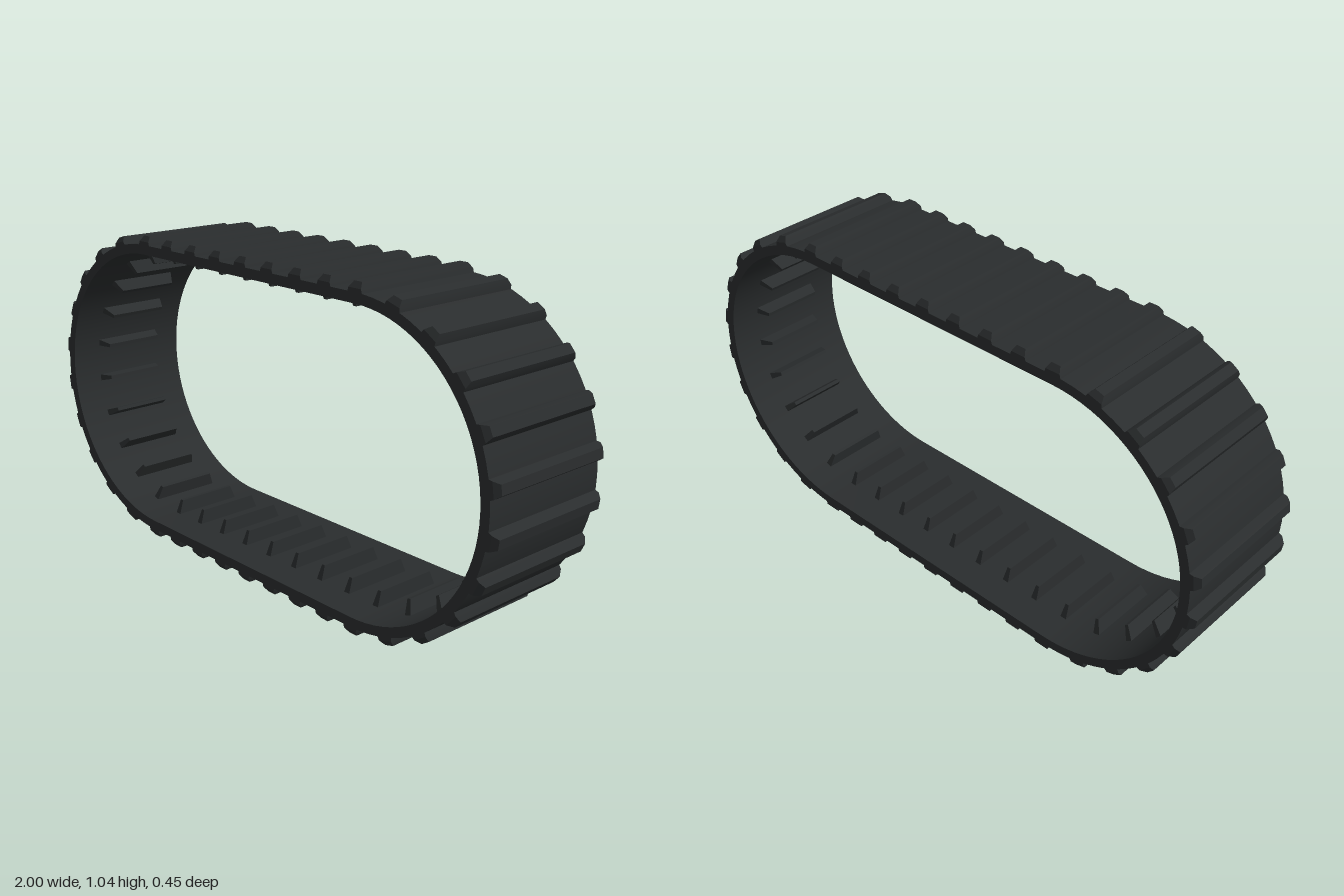
import * as THREE from 'three';
import { toCreasedNormals } from 'three/addons/utils/BufferGeometryUtils.js';

const CX = 0.484, CY = 0.52;            // centres of the two round ends
const R_OUT = 0.492, R_IN = 0.461;      // belt radii
const HALF = 0.225;                     // half the belt width

// Closed loop with straight runs and half-round ends
function stadium(PathType, r) {
  const p = new PathType();
  p.absarc(CX, CY, r, -Math.PI / 2, Math.PI / 2, false);
  p.absarc(-CX, CY, r, Math.PI / 2, Math.PI * 1.5, false);
  p.closePath();
  return p;
}

// Bar along z whose levels (bottom to top) are [y, half width, half length]
function taperedBar(levels) {
  const n = levels.length - 1;
  const g = new THREE.BoxGeometry(2, n, 2, 1, n, 1);
  const p = g.attributes.position;
  for (let i = 0; i < p.count; i++) {
    const [y, w, l] = levels[Math.round(p.getY(i) + n / 2)];
    p.setXYZ(i, p.getX(i) * w, y, p.getZ(i) * l);
  }
  return toCreasedNormals(g, 0.3);
}

export function createModel() {
  const root = new THREE.Group();
  root.name = 'crawlerTrack';
  const rubber = new THREE.MeshStandardMaterial({ color: 0x2a2d2e });

  // Belt
  const outline = stadium(THREE.Shape, R_OUT);
  outline.holes.push(stadium(THREE.Path, R_IN));
  const beltGeo = new THREE.ExtrudeGeometry(outline, { depth: HALF * 2, bevelEnabled: false, curveSegments: 22 });
  beltGeo.translate(0, 0, -HALF);
  const belt = new THREE.Mesh(toCreasedNormals(beltGeo, 0.5), rubber);
  belt.name = 'belt';
  root.add(belt);

  // Outer tread lug with chamfered ends, and inner guide tooth
  const lugGeo = taperedBar([[0.475, 0.02, HALF], [0.486, 0.029, HALF], [0.503, 0.024, HALF], [0.52, 0.015, 0.212]]);
  const toothGeo = taperedBar([[0.416, 0.006, 0.105], [0.47, 0.012, 0.125]]);

  // Place one lug and tooth about (x, CY), turned clockwise from the top
  function addLink(x, angle) {
    const link = new THREE.Group();
    link.name = 'trackLink';
    const lug = new THREE.Mesh(lugGeo, rubber);
    lug.name = 'treadLug';
    const tooth = new THREE.Mesh(toothGeo, rubber);
    tooth.name = 'guideTooth';
    link.add(lug, tooth);
    link.position.set(x, CY, 0);
    link.rotation.z = -angle;
    root.add(link);
  }

  // Straight runs, top and bottom
  for (let i = 0; i < 9; i++) {
    const x = -CX + (i * CX) / 4;
    addLink(x, 0);
    addLink(x, Math.PI);
  }
  // Round ends
  for (let i = 1; i <= 10; i++) {
    const a = (i * Math.PI) / 11;
    addLink(CX, a);
    addLink(-CX, -a);
  }
  return root;
}
